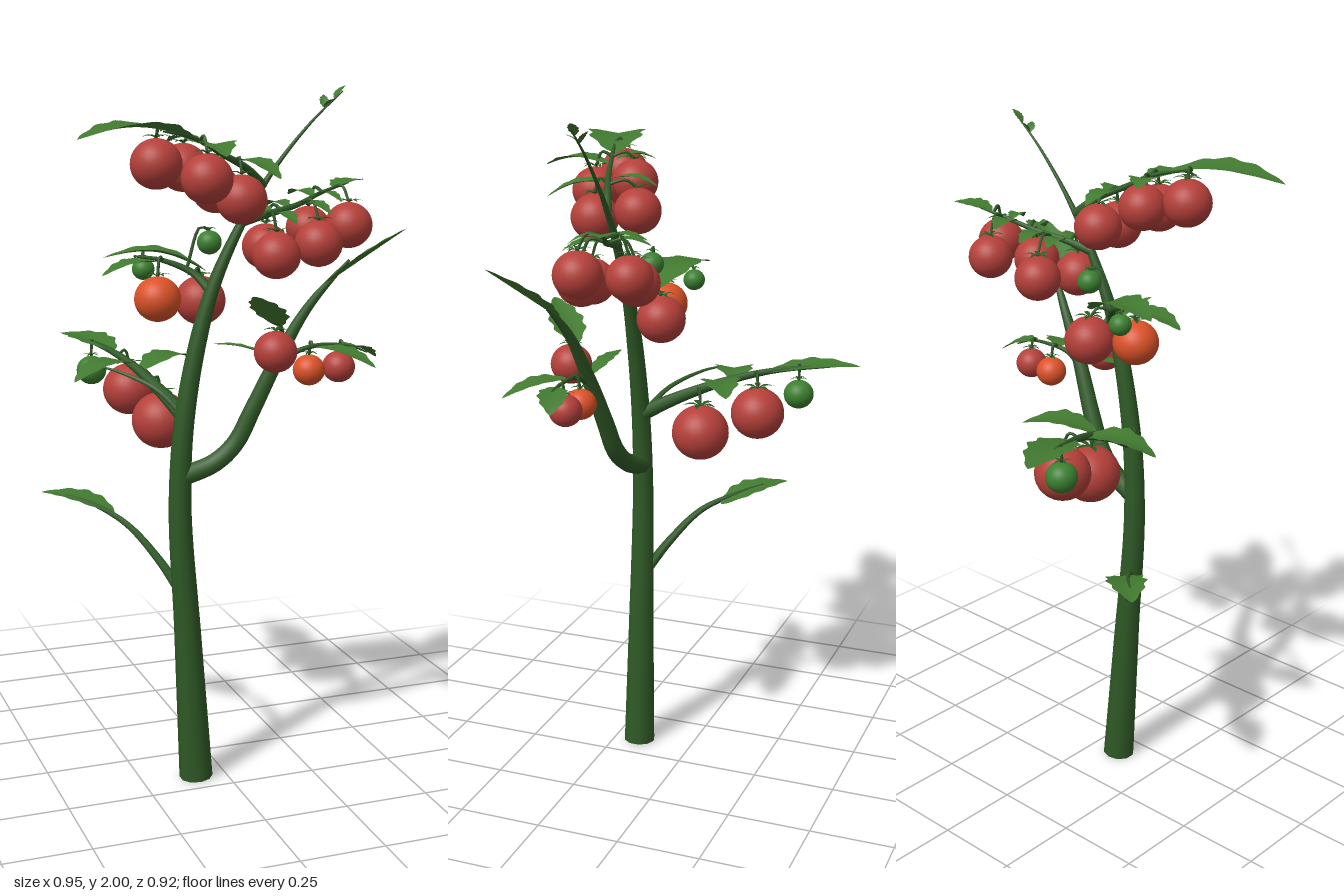
import * as THREE from 'three';

const V = (a) => new THREE.Vector3(...a);
const mat = (color, side = THREE.FrontSide) => new THREE.MeshStandardMaterial({ color, side });

export function createModel() {
  const plant = new THREE.Group();
  plant.name = 'tomatoPlant';
  const stemMat = mat(0x2f5a26);
  const leafMat = mat(0x427a30, THREE.DoubleSide);
  const sepalMat = mat(0x2c5a22, THREE.DoubleSide);
  const ripe = mat(0xb5403a), turning = mat(0xdb5228), unripe = mat(0x3c8030);

  const add = (parent, geo, material, name) => {
    const mesh = new THREE.Mesh(geo, material);
    mesh.name = name;
    parent.add(mesh);
    return mesh;
  };

  // Tapered tube: every ring of a tube is scaled about the path by an interpolated radius
  function branch(parent, name, points, radii, sides = 8, steps = 24) {
    const curve = new THREE.CatmullRomCurve3(points.map(V));
    const geo = new THREE.TubeGeometry(curve, steps, 1, sides);
    const pos = geo.attributes.position, p = new THREE.Vector3();
    for (let i = 0; i <= steps; i++) {
      const c = curve.getPointAt(i / steps);
      const f = (i / steps) * (radii.length - 1), k = Math.min(Math.floor(f), radii.length - 2);
      const r = THREE.MathUtils.lerp(radii[k], radii[k + 1], f - k);
      for (let j = 0; j <= sides; j++) {
        const n = i * (sides + 1) + j;
        p.fromBufferAttribute(pos, n).sub(c).multiplyScalar(r).add(c);
        pos.setXYZ(n, p.x, p.y, p.z);
      }
    }
    add(parent, geo, stemMat, name);
    return curve;
  }

  // Leaf blade: a grid laid from base to tip with a scalloped edge, folded midrib and arch
  function leaf(parent, name, base, tip, width, arch = 0.02, material = leafMat, rows = 28) {
    const a = V(base), b = V(tip), dir = b.clone().sub(a);
    const side = new THREE.Vector3(-dir.z, 0, dir.x);
    if (side.lengthSq() < 1e-8) side.set(1, 0, 0);
    side.normalize();
    const up = new THREE.Vector3().crossVectors(dir, side).normalize();
    if (up.y < 0) up.negate();
    const geo = new THREE.PlaneGeometry(1, 1, 4, rows);
    const pos = geo.attributes.position, p = new THREE.Vector3();
    for (let n = 0; n < pos.count; n++) {
      const s = pos.getX(n) * 2, t = pos.getY(n) + 0.5;
      const edge = Math.pow(Math.max(0, Math.sin(Math.PI * Math.pow(t, 0.85))), 0.8);
      const half = (width / 2) * edge * (1 + 0.1 * Math.sin(t * Math.PI * 9));
      p.copy(a).addScaledVector(dir, t).addScaledVector(side, s * half);
      p.addScaledVector(up, arch * Math.sin(Math.PI * t) + Math.abs(s) * half * 0.18);
      pos.setXYZ(n, p.x, p.y, p.z);
    }
    geo.computeVertexNormals();
    return add(parent, geo, material, name);
  }

  // Fruit with calyx, hung by a bent stalk from the nearest point of its truss
  function fruit(parent, curve, [x, y, z, r, material = ripe]) {
    const g = new THREE.Group();
    g.name = 'fruit';
    parent.add(g);
    const ball = add(g, new THREE.SphereGeometry(r, 28, 18), material, 'fruitBody');
    ball.scale.y = 0.96;
    ball.position.set(x, y, z);
    const top = new THREE.Vector3(x, y + r * 0.95, z);
    const near = curve.getSpacedPoints(40)
      .reduce((m, q) => (q.distanceTo(top) < m.distanceTo(top) ? q : m));
    const mid = near.clone().lerp(top, 0.6);
    mid.y = Math.max(near.y, top.y) + 0.012;
    branch(g, 'fruitStalk', [near.toArray(), mid.toArray(), top.toArray()], [0.005, 0.004], 6, 8);
    for (let i = 0; i < 5; i++) {
      const a = (i / 5) * Math.PI * 2 + x * 20, l = r * 0.62;
      leaf(g, 'sepal', top.toArray(),
        [x + Math.cos(a) * l, top.y + 0.004, z + Math.sin(a) * l], r * 0.2, 0.006, sepalMat, 6);
    }
  }

  function truss(name, points, radii, fruits, leaves) {
    const g = new THREE.Group();
    g.name = name;
    plant.add(g);
    const curve = branch(g, name + 'Stalk', points, radii);
    fruits.forEach((f) => fruit(g, curve, f));
    leaves.forEach(([a, b, w, arch]) => leaf(g, 'leaf', a, b, w, arch));
  }

  // Main stem with its cut base
  branch(plant, 'mainStem', [[-0.09, 0, 0.17], [-0.115, 0.45, 0.17], [-0.137, 0.85, 0.17], [-0.118, 1.12, 0.17],
    [-0.05, 1.42, 0.17], [0.03, 1.6, 0.17], [0.13, 1.76, 0.17], [0.25, 1.9, 0.17], [0.345, 1.985, 0.17]],
  [0.049, 0.043, 0.037, 0.033, 0.029, 0.024, 0.015, 0.006, 0.002], 10, 60);
  const cap = add(plant, new THREE.CircleGeometry(0.048, 10), stemMat, 'stemBase');
  cap.rotation.x = Math.PI / 2;
  cap.position.set(-0.09, 0.001, 0.17);
  leaf(plant, 'tipLeaf', [0.32, 1.965, 0.17], [0.355, 2.0, 0.165], 0.03, 0.003);
  leaf(plant, 'tipLeaf', [0.29, 1.94, 0.17], [0.31, 1.965, 0.2], 0.025, 0.003);
  leaf(plant, 'tipLeaf', [0.29, 1.94, 0.17], [0.3, 1.975, 0.14], 0.025, 0.003);

  // Side branch ending in a broad leaf
  branch(plant, 'sideBranch', [[-0.13, 0.92, 0.17], [-0.04, 0.955, 0.185], [0.02, 1.01, 0.195], [0.07, 1.11, 0.205],
    [0.14, 1.26, 0.225], [0.22, 1.4, 0.245], [0.32, 1.53, 0.29]], [0.03, 0.028, 0.026, 0.023, 0.018, 0.012, 0.004], 8, 40);
  leaf(plant, 'branchLeaf', [0.26, 1.46, 0.26], [0.445, 1.62, 0.385], 0.14, 0);
  branch(plant, 'branchLeafStalk', [[0.16, 1.29, 0.22], [0.13, 1.34, 0.26], [0.09, 1.39, 0.31]], [0.007, 0.003], 6, 12);
  leaf(plant, 'branchLeaf', [0.12, 1.35, 0.27], [0.0, 1.455, 0.39], 0.1, 0);

  // Low leaf
  branch(plant, 'lowLeafStalk', [[-0.13, 0.57, 0.16], [-0.18, 0.66, 0.1], [-0.25, 0.75, 0.02], [-0.33, 0.795, -0.08],
    [-0.39, 0.81, -0.14]], [0.016, 0.012, 0.008, 0.003]);
  leaf(plant, 'lowLeaf', [-0.27, 0.77, -0.04], [-0.45, 0.81, -0.2], 0.11, 0.015);

  // Truss reaching back
  truss('backTruss', [[-0.12, 1.09, 0.16], [-0.15, 1.14, 0.06], [-0.19, 1.195, -0.08], [-0.235, 1.23, -0.22], [-0.29, 1.245, -0.39]],
    [0.023, 0.017, 0.012, 0.008, 0.003],
    [[-0.13, 1.045, -0.02, 0.086], [-0.175, 1.11, -0.185, 0.08], [-0.265, 1.155, -0.285, 0.045, unripe]],
    [[[-0.22, 1.225, -0.2], [-0.31, 1.245, -0.46], 0.125, 0.01],
      [[-0.19, 1.2, -0.11], [-0.385, 1.17, -0.035], 0.11, 0.025],
      [[-0.18, 1.19, -0.05], [0.015, 1.2, -0.15], 0.11, 0.025]]);

  // Middle truss reaching right and back
  truss('middleTruss', [[-0.04, 1.44, 0.17], [-0.08, 1.49, 0.12], [-0.16, 1.525, 0.08], [-0.23, 1.535, 0.05]],
    [0.016, 0.01, 0.007, 0.003],
    [[-0.04, 1.405, 0.07, 0.072], [-0.18, 1.42, 0.11, 0.066, turning],
      [-0.195, 1.495, 0.025, 0.032, unripe], [-0.02, 1.57, 0.09, 0.035, unripe]],
    [[[-0.03, 1.49, 0.09], [-0.31, 1.53, 0.02], 0.13, 0.035],
      [[-0.17, 1.52, 0.09], [-0.34, 1.49, 0.11], 0.09, 0.015]]);

  // Low leaves on the right of the stem
  branch(plant, 'rightLeafStalk', [[-0.12, 1.09, 0.16], [-0.18, 1.16, 0.1], [-0.26, 1.2, 0.02], [-0.3, 1.21, -0.03]],
    [0.01, 0.007, 0.003], 6);

  // Upper truss reaching right and forward
  truss('upperRightTruss', [[0.11, 1.73, 0.17], [0.05, 1.78, 0.195], [-0.03, 1.82, 0.225], [-0.12, 1.865, 0.25], [-0.22, 1.885, 0.285]],
    [0.014, 0.01, 0.008, 0.006, 0.002],
    [[-0.23, 1.8, 0.26, 0.07], [-0.13, 1.785, 0.185, 0.068], [-0.1, 1.76, 0.295, 0.07],
      [-0.015, 1.72, 0.13, 0.068], [0.015, 1.7, 0.25, 0.07]],
    [[[-0.13, 1.865, 0.25], [-0.475, 1.87, 0.375], 0.16, 0.03],
      [[-0.08, 1.84, 0.25], [-0.105, 1.825, 0.455], 0.095, 0.02],
      [[0.01, 1.8, 0.2], [0.08, 1.76, 0.37], 0.09, 0.02],
      [[-0.1, 1.85, 0.23], [-0.16, 1.85, 0.13], 0.07, 0.015],
      [[-0.01, 1.81, 0.2], [-0.02, 1.79, 0.07], 0.06, 0.015]]);

  // Upper truss reaching left
  truss('upperLeftTruss', [[0.04, 1.63, 0.17], [0.13, 1.65, 0.155], [0.23, 1.67, 0.125], [0.32, 1.7, 0.09], [0.42, 1.725, 0.06]],
    [0.014, 0.01, 0.008, 0.006, 0.002],
    [[0.135, 1.54, 0.21, 0.068], [0.16, 1.55, 0.065, 0.068], [0.275, 1.565, 0.18, 0.068],
      [0.31, 1.595, 0.022, 0.065], [0.385, 1.61, 0.14, 0.068]],
    [[[0.36, 1.715, 0.08], [0.475, 1.73, 0.035], 0.09, 0.005],
      [[0.14, 1.65, 0.15], [0.11, 1.65, 0.05], 0.055, 0.015],
      [[0.2, 1.665, 0.13], [0.18, 1.66, 0.01], 0.06, 0.015],
      [[0.29, 1.69, 0.1], [0.26, 1.69, -0.01], 0.065, 0.015],
      [[0.14, 1.65, 0.16], [0.17, 1.63, 0.27], 0.06, 0.015],
      [[0.24, 1.675, 0.12], [0.29, 1.65, 0.23], 0.06, 0.015],
      [[0.3, 1.695, 0.1], [0.34, 1.68, 0.19], 0.045, 0.015]]);

  // Small truss on the side branch
  truss('sideTruss', [[0.13, 1.24, 0.225], [0.2, 1.275, 0.235], [0.28, 1.285, 0.23], [0.36, 1.275, 0.235], [0.41, 1.255, 0.23]],
    [0.01, 0.007, 0.005, 0.002],
    [[0.24, 1.21, 0.205, 0.046, turning], [0.33, 1.215, 0.21, 0.047], [0.1, 1.285, 0.295, 0.06]],
    [[[0.33, 1.28, 0.24], [0.45, 1.235, 0.2], 0.08, 0.01],
      [[0.24, 1.28, 0.24], [0.36, 1.24, 0.39], 0.09, 0.015],
      [[0.11, 1.26, 0.23], [-0.05, 1.3, 0.2], 0.05, 0.01]]);

  return plant;
}
